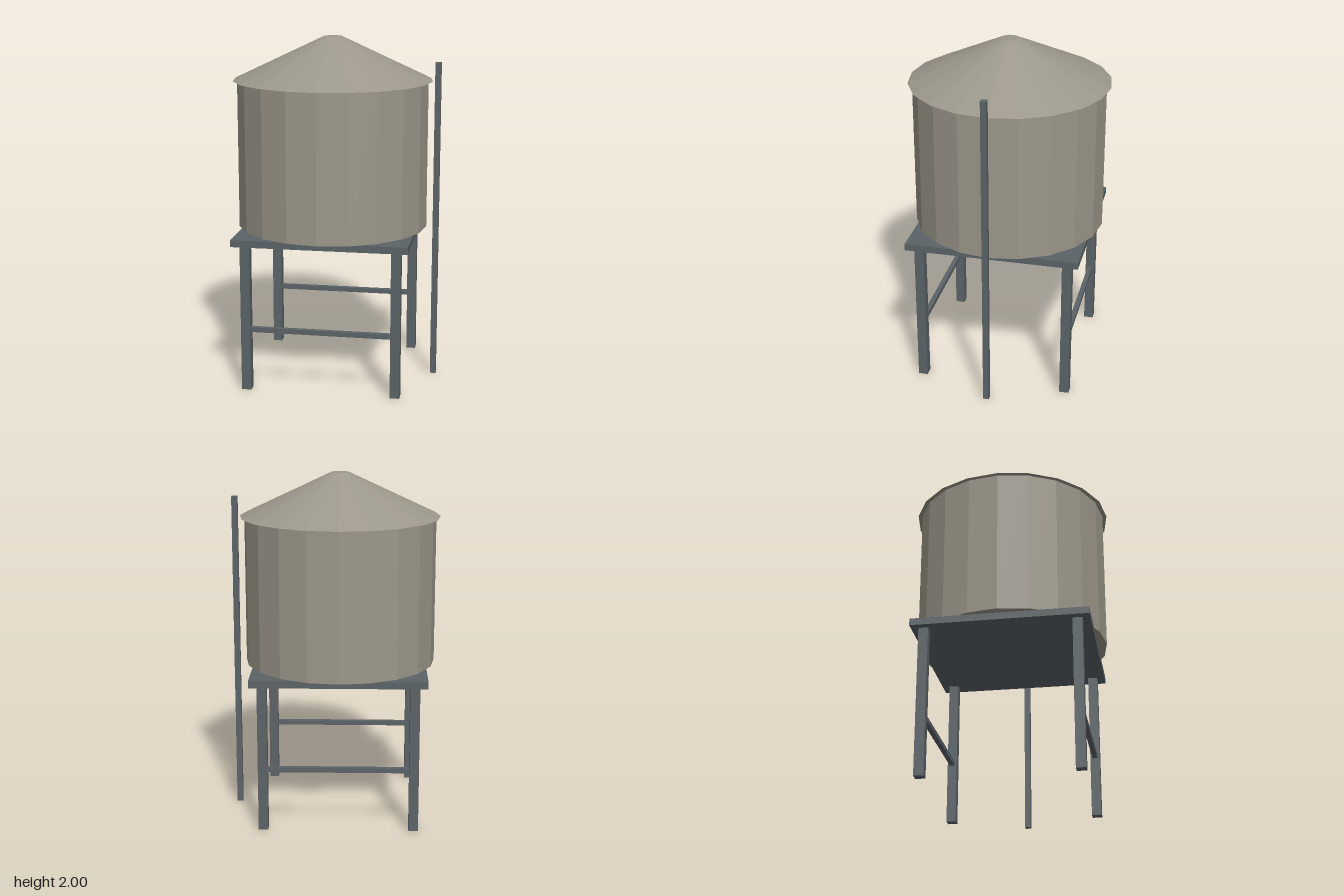
import * as THREE from 'three';

export function createModel() {
  const model = new THREE.Group();
  const tankMat = new THREE.MeshStandardMaterial({ color: 0x9c978a, flatShading: true });
  const steelMat = new THREE.MeshStandardMaterial({ color: 0x5b6367, flatShading: true });
  const cx = -0.025; // axis of the tank and stand
  const sides = 20;

  const add = (name, geometry, material, x, y, z) => {
    const mesh = new THREE.Mesh(geometry, material);
    mesh.name = name;
    mesh.position.set(x, y, z);
    model.add(mesh);
  };
  // Steel bar or plate given by its bottom height
  const box = (name, w, h, d, x, bottom, z) =>
    add(name, new THREE.BoxGeometry(w, h, d), steelMat, x, bottom + h / 2, z);

  // Tank body and truncated conical roof with a small overhang
  add('tank', new THREE.CylinderGeometry(0.553, 0.553, 0.85, sides), tankMat, cx, 1.325, 0);
  add('roof', new THREE.CylinderGeometry(0.052, 0.578, 0.25, sides), tankMat, cx, 1.875, 0);

  // Square deck carrying the tank
  box('deck', 1, 0.04, 1, cx, 0.86, 0);

  // Four legs, with one cross brace along the front and one along the back
  for (const z of [-0.43, 0.43]) {
    for (const x of [-0.43, 0.43]) box('leg', 0.055, 0.86, 0.055, cx + x, 0, z);
    box('brace', 0.86, 0.028, 0.028, cx, 0.346, z);
  }

  // Upright pipe beside the tank
  box('pipe', 0.034, 1.86, 0.034, 0.583, 0, 0);

  return model;
}
